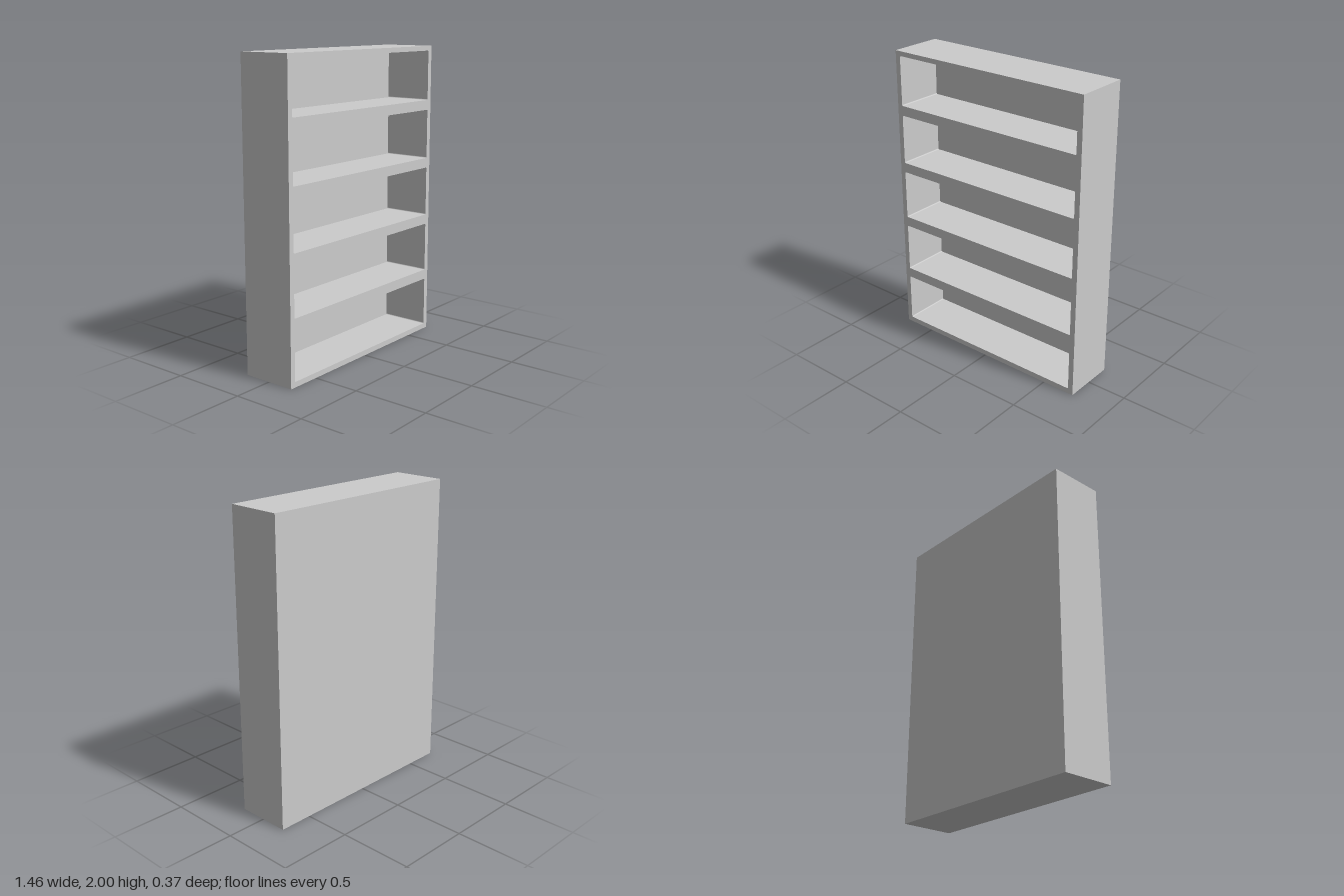
import * as THREE from 'three';

const WIDTH = 1.456, HEIGHT = 2, DEPTH = 0.366;
const BOARD = 0.036;          // thickness of sides, top, bottom and back
const BAYS = 5, PITCH = 0.4, BAY_HEIGHT = 0.333;
const FILLET = 0.007;         // tiny rounding in the bay corners

// Rounded rectangular opening, centred on x = 0
function bayOpening(y0, y1) {
  const x = WIDTH / 2 - BOARD, r = FILLET;
  const p = new THREE.Path();
  p.absarc(x - r, y0 + r, r, -Math.PI / 2, 0);
  p.absarc(x - r, y1 - r, r, 0, Math.PI / 2);
  p.absarc(-x + r, y1 - r, r, Math.PI / 2, Math.PI);
  p.absarc(-x + r, y0 + r, r, Math.PI, Math.PI * 1.5);
  p.closePath();
  return p;
}

export function createModel() {
  const group = new THREE.Group();
  group.name = 'bookcase';
  const material = new THREE.MeshStandardMaterial({ color: 0xcccccc });

  // Carcass with shelves: outer rectangle pierced by five equal bays
  const w = WIDTH / 2;
  const outline = new THREE.Shape([
    new THREE.Vector2(-w, 0), new THREE.Vector2(w, 0),
    new THREE.Vector2(w, HEIGHT), new THREE.Vector2(-w, HEIGHT),
  ]);
  for (let i = 0; i < BAYS; i++) {
    const mid = PITCH * (i + 0.5) + 0.002;
    outline.holes.push(bayOpening(mid - BAY_HEIGHT / 2, mid + BAY_HEIGHT / 2));
  }
  const frame = new THREE.Mesh(
    new THREE.ExtrudeGeometry(outline, { depth: DEPTH - BOARD, bevelEnabled: false, curveSegments: 4 }),
    material);
  frame.name = 'shelfFrame';
  frame.position.z = -DEPTH / 2 + BOARD;
  group.add(frame);

  // Back panel closing all bays
  const back = new THREE.Mesh(new THREE.BoxGeometry(WIDTH, HEIGHT, BOARD), material);
  back.name = 'backPanel';
  back.position.set(0, HEIGHT / 2, -DEPTH / 2 + BOARD / 2);
  group.add(back);

  return group;
}
